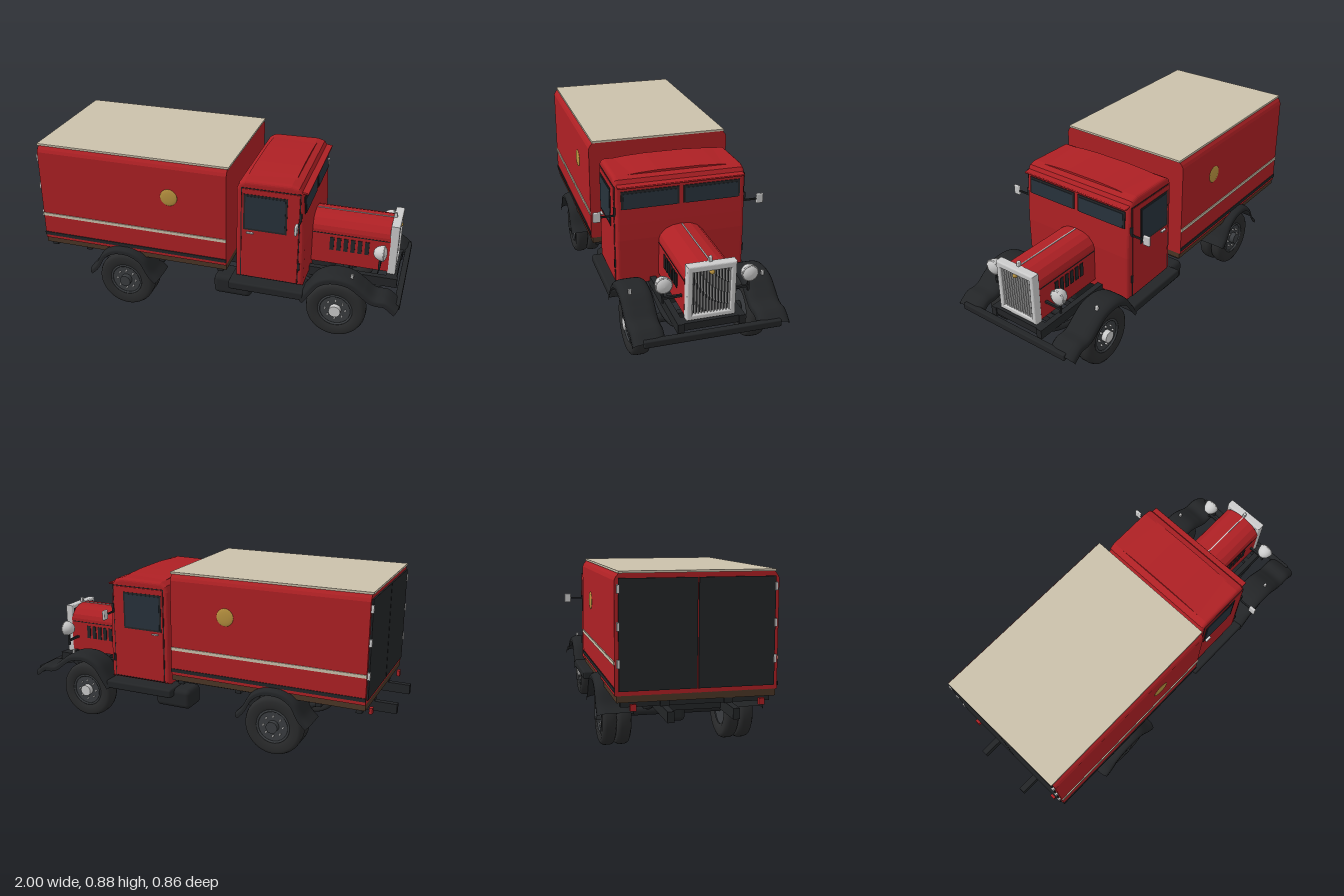
import * as THREE from 'three';
import { RoundedBoxGeometry } from 'three/addons/geometries/RoundedBoxGeometry.js';
import { ParametricGeometry } from 'three/addons/geometries/ParametricGeometry.js';

const mat = (color, side = THREE.FrontSide) => new THREE.MeshStandardMaterial({ color, side });
const red = mat(0xae2024), black = mat(0x232527), tyreMat = mat(0x2a2b2c), rimMat = mat(0x3a3d40),
  tan = mat(0xcbc1ab), wood = mat(0x4b3626), glass = mat(0x27323b), gold = mat(0xb8923f),
  silver = mat(0xcccccc), sheet = mat(0x232527, THREE.DoubleSide);

export function createModel() {
  const root = new THREE.Group();
  const add = (name, geo, m, x = 0, y = 0, z = 0, parent = root) => {
    const mesh = new THREE.Mesh(geo, m);
    mesh.name = name;
    mesh.position.set(x, y, z);
    parent.add(mesh);
    return mesh;
  };
  // box given by its limits on each axis; r rounds the edges
  const box = (name, m, x0, x1, y0, y1, z0, z1, r = 0) => {
    const s = [x1 - x0, y1 - y0, z1 - z0];
    return add(name, r ? new RoundedBoxGeometry(...s, 3, r) : new THREE.BoxGeometry(...s), m,
      (x0 + x1) / 2, (y0 + y1) / 2, (z0 + z1) / 2);
  };
  // the same box on both sides of the truck
  const pair = (name, m, x0, x1, y0, y1, z0, z1, r = 0) => {
    box(name + 'Left', m, x0, x1, y0, y1, -z1, -z0, r);
    box(name + 'Right', m, x0, x1, y0, y1, z0, z1, r);
  };
  const outline = pts => new THREE.Shape(pts.map(p => new THREE.Vector2(...p)));
  // section in (z, y) drawn out along x
  const alongX = (name, m, pts, x0, x1) => {
    const g = new THREE.ExtrudeGeometry(outline(pts), { depth: x1 - x0, bevelEnabled: false });
    return add(name, g.rotateY(Math.PI / 2), m, x0);
  };
  const mirrored = half => [...half, ...half.slice().reverse().map(([a, b]) => [-a, b])];
  const zCyl = (r, d, n = 32) => new THREE.CylinderGeometry(r, r, d, n).rotateX(Math.PI / 2);

  // cargo body
  alongX('cargoBody', red, mirrored([[0.367, 0.34], [0.367, 0.835], [0.36, 0.85], [0.345, 0.868]]), -0.895, 0.12);
  box('cargoRoof', tan, -0.902, 0.126, 0.866, 0.876, -0.35, 0.35);
  box('cargoFloor', wood, -0.895, 0.12, 0.31, 0.341, -0.36, 0.36);
  pair('lightStripe', tan, -0.895, 0.12, 0.474, 0.49, 0.366, 0.372);
  pair('darkStripe', black, -0.897, 0.121, 0.357, 0.375, 0.366, 0.371);
  for (const s of [-1, 1]) {
    const disc = add('roundBadge', new THREE.SphereGeometry(0.045, 32, 16), gold, -0.18, 0.68, s * 0.367);
    disc.scale.z = 0.16;
    box('rearDoor', black, -0.903, -0.89, 0.36, 0.845, s > 0 ? 0.003 : -0.35, s > 0 ? 0.35 : -0.003);
    for (const y of [0.48, 0.64, 0.8]) box('doorHinge', silver, -0.908, -0.895, y - 0.018, y + 0.018, s * 0.352 - 0.006, s * 0.352 + 0.006);
    box('tailLight', red, -0.914, -0.898, 0.275, 0.305, s * 0.29 - 0.013, s * 0.29 + 0.013);
  }

  // chassis
  pair('chassisRail', black, -1, 0.96, 0.238, 0.287, 0.13, 0.16);
  pair('subframe', black, -0.89, 0.12, 0.285, 0.312, 0.125, 0.165);
  for (const x of [-0.8, -0.6, -0.28, -0.05, 0.3, 0.69, 0.84])
    box('crossMember', black, x - 0.015, x + 0.015, 0.245, 0.28, -0.15, 0.15);
  for (const x of [-0.86, -0.66, -0.24, 0.08]) box('floorBeam', black, x - 0.015, x + 0.015, 0.285, 0.312, -0.34, 0.34);
  box('frontBumper', black, 0.965, 0.995, 0.215, 0.25, -0.325, 0.325, 0.006);
  box('frontApron', black, 0.9, 0.955, 0.25, 0.287, -0.16, 0.16);

  // axles, drive line and springs
  for (const x of [-0.44, 0.68]) {
    add('axle', zCyl(0.023, 0.5, 20), black, x, 0.157, 0);
    for (const z of [-0.145, 0.145]) {
      const curve = new THREE.QuadraticBezierCurve3(new THREE.Vector3(x - 0.2, 0.24, z),
        new THREE.Vector3(x, 0.13, z), new THREE.Vector3(x + 0.2, 0.24, z));
      add('leafSpring', new THREE.TubeGeometry(curve, 16, 0.014, 8), black);
    }
  }
  box('differential', black, -0.5, -0.38, 0.105, 0.205, -0.052, 0.052, 0.025);
  add('driveShaft', new THREE.CylinderGeometry(0.013, 0.013, 0.75, 16).rotateZ(Math.PI / 2), black, -0.05, 0.172, 0);
  box('engineSump', black, 0.32, 0.62, 0.2, 0.3, -0.08, 0.08, 0.02);
  pair('sideTank', black, 0.04, 0.24, 0.14, 0.245, 0.19, 0.33, 0.025);
  pair('runningBoard', black, 0.13, 0.52, 0.205, 0.25, 0.22, 0.37, 0.01);

  // wheels
  const tyreProfile = [[0.083, -0.36], [0.1, -0.48], [0.132, -0.5], [0.146, -0.4], [0.152, -0.2],
    [0.152, 0.2], [0.146, 0.4], [0.132, 0.5], [0.1, 0.48], [0.083, 0.36]];
  const wheel = (name, x, z, width, side, front) => {
    const g = new THREE.Group();
    g.name = name;
    g.position.set(x, 0.152, z);
    if (side < 0) g.rotation.y = Math.PI;
    root.add(g);
    const pts = tyreProfile.map(([r, h]) => new THREE.Vector2(r, h * width));
    add('tyre', new THREE.LatheGeometry(pts, 48).rotateX(Math.PI / 2), tyreMat, 0, 0, 0, g);
    add('rim', new THREE.TorusGeometry(0.083, 0.006, 8, 40), rimMat, 0, 0, width * 0.38, g);
    add('wheelDisc', zCyl(0.084, width * 0.6), rimMat, 0, 0, 0, g);
    add('hub', zCyl(0.03, 0.03, 24), front ? silver : rimMat, 0, 0, width * 0.3 + 0.012, g);
    for (let i = 0; i < 8; i++) {
      const a = i * Math.PI / 4;
      add('wheelBolt', zCyl(0.005, 0.012, 8), silver, 0.052 * Math.cos(a), 0.052 * Math.sin(a), width * 0.3 + 0.004, g);
    }
  };
  for (const s of [-1, 1]) {
    wheel('frontWheel', 0.68, s * 0.285, 0.09, s, true);
    wheel('rearOuterWheel', -0.44, s * 0.338, 0.07, s, false);
    wheel('rearInnerWheel', -0.44, s * 0.267, 0.07, s, false);
  }

  // fenders: a crowned section swept along a side path
  const fender = (name, path, z0, z1, drop) => {
    const curve = new THREE.CatmullRomCurve3(path.map(([x, y]) => new THREE.Vector3(x, y, 0)));
    for (const s of [-1, 1]) {
      const geo = new ParametricGeometry((u, v, out) => {
        const p = curve.getPointAt(u), t = curve.getTangentAt(u), c = 2 * v - 1;
        const d = drop * Math.pow(Math.abs(c), 5);
        const zc = Math.sign(c) * Math.min(1, Math.abs(c) * 1.12);
        out.set(p.x + t.y * d, p.y - t.x * d, s * ((z0 + z1) / 2 + zc * (z1 - z0) / 2));
      }, 40, 20);
      add(name, geo, sheet);
    }
  };
  fender('frontFender', [[0.49, 0.215], [0.52, 0.26], [0.57, 0.33], [0.63, 0.363], [0.69, 0.37], [0.76, 0.357],
    [0.82, 0.318], [0.87, 0.283], [0.93, 0.28], [0.992, 0.238]], 0.22, 0.372, 0.035);
  fender('rearFender', [[-0.64, 0.2], [-0.605, 0.235], [-0.56, 0.31], [-0.5, 0.348], [-0.44, 0.357],
    [-0.38, 0.348], [-0.32, 0.31], [-0.275, 0.235], [-0.242, 0.2]], 0.23, 0.405, 0.03);

  // cab: side outline with a rounded edge
  const b = 0.018;
  const cab = new THREE.ExtrudeGeometry(outline([[0.176, 0.28], [0.176, 0.755], [0.184, 0.778], [0.205, 0.79],
    [0.43, 0.793], [0.46, 0.785], [0.472, 0.765], [0.485, 0.58], [0.49, 0.5], [0.49, 0.28]]),
    { depth: 0.65 - 2 * b, bevelSize: b, bevelThickness: b, bevelSegments: 4 });
  add('cab', cab, red, 0, 0, -0.325 + b);
  const crown = mirrored([[0.29, 0.805], [0.2, 0.814], [0.1, 0.819]]);
  alongX('roofCrown', red, crown, 0.2, 0.44);
  box('visor', red, 0.47, 0.515, 0.77, 0.78, -0.315, 0.315, 0.004).rotation.z = -0.12;
  // windscreen panes lie on the sloped front
  for (const s of [-1, 1]) {
    box('windscreenFrame', black, 0.489, 0.499, 0.66, 0.748, s * 0.154 - 0.143, s * 0.154 + 0.143).rotation.z = 0.07;
    box('windscreenGlass', glass, 0.491, 0.502, 0.66, 0.736, s * 0.154 - 0.132, s * 0.154 + 0.132).rotation.z = 0.07;
  }
  // doors with gaps, windows, handles and mirrors
  const rect = (P, x0, y0, x1, y1) => new P([[x0, y0], [x1, y0], [x1, y1], [x0, y1]].map(p => new THREE.Vector2(...p)));
  const seam = rect(THREE.Shape, 0.183, 0.272, 0.482, 0.772);
  seam.holes.push(rect(THREE.Path, 0.187, 0.276, 0.478, 0.768));
  for (const s of [-1, 1])
    add('doorSeam', new THREE.ExtrudeGeometry(seam, { depth: 0.004, bevelEnabled: false }), black, 0, 0, s * 0.325 - 0.002);
  pair('doorPanel', red, 0.187, 0.478, 0.276, 0.768, 0.31, 0.329, 0.003);
  pair('sideWindowFrame', black, 0.197, 0.418, 0.545, 0.74, 0.32, 0.331);
  pair('sideWindow', glass, 0.207, 0.408, 0.555, 0.73, 0.32, 0.333);
  pair('doorHandle', silver, 0.215, 0.25, 0.527, 0.533, 0.325, 0.34);
  pair('mirrorArm', black, 0.478, 0.486, 0.623, 0.631, 0.31, 0.42);
  pair('mirror', silver, 0.474, 0.488, 0.602, 0.653, 0.393, 0.43, 0.005);
  for (const y of [0.375, 0.65]) pair('cabHinge', black, 0.478, 0.49, y - 0.02, y + 0.02, 0.32, 0.332);

  // bonnet with louvres
  alongX('bonnet', red, mirrored([[0.115, 0.3], [0.115, 0.488], [0.108, 0.51], [0.08, 0.538], [0.045, 0.552], [0.005, 0.556]]), 0.49, 0.905);
  box('bonnetHinge', silver, 0.51, 0.9, 0.554, 0.559, -0.003, 0.003);
  pair('bonnetSeam', black, 0.51, 0.9, 0.468, 0.472, 0.11, 0.117);
  for (let i = 0; i < 6; i++) pair('louvre', black, 0.6 + i * 0.036, 0.622 + i * 0.036, 0.38, 0.452, 0.11, 0.119);

  // radiator
  const shell = rect(THREE.Shape, -0.108, 0.296, 0.108, 0.552);
  shell.holes.push(rect(THREE.Path, -0.096, 0.308, 0.096, 0.534));
  add('radiatorShell', new THREE.ExtrudeGeometry(shell, { depth: 0.03, bevelSize: 0.007, bevelThickness: 0.007, bevelSegments: 3 })
    .rotateY(Math.PI / 2), silver, 0.907);
  box('radiatorCore', black, 0.9, 0.925, 0.3, 0.545, -0.1, 0.1);
  for (let i = 0; i < 13; i++) box('grilleBar', silver, 0.924, 0.936, 0.306, 0.536, (i - 6) * 0.0145 - 0.0025, (i - 6) * 0.0145 + 0.0025);
  box('radiatorCap', silver, 0.9, 0.918, 0.55, 0.583, -0.008, 0.008, 0.004);
  add('grilleBadge', new THREE.SphereGeometry(0.012, 16, 12), gold, 0.938, 0.52, 0);

  // headlights on brackets
  const lamp = [[0, -0.036], [0.018, -0.031], [0.031, -0.018], [0.038, 0], [0.04, 0.014], [0.037, 0.02],
    [0.028, 0.027], [0.014, 0.032], [0, 0.033]].map(p => new THREE.Vector2(...p));
  for (const s of [-1, 1]) {
    add('headlight', new THREE.LatheGeometry(lamp, 32).rotateZ(-Math.PI / 2), silver, 0.868, 0.452, s * 0.204);
    add('headlightRim', new THREE.TorusGeometry(0.037, 0.004, 8, 32).rotateY(Math.PI / 2), silver, 0.885, 0.452, s * 0.204);
  }
  pair('headlightPost', black, 0.863, 0.873, 0.355, 0.42, 0.199, 0.209);
  pair('headlightBracket', black, 0.862, 0.874, 0.375, 0.386, 0.11, 0.209);
  pair('fenderLamp', silver, 0.745, 0.76, 0.355, 0.38, 0.318, 0.332, 0.004);
  return root;
}
